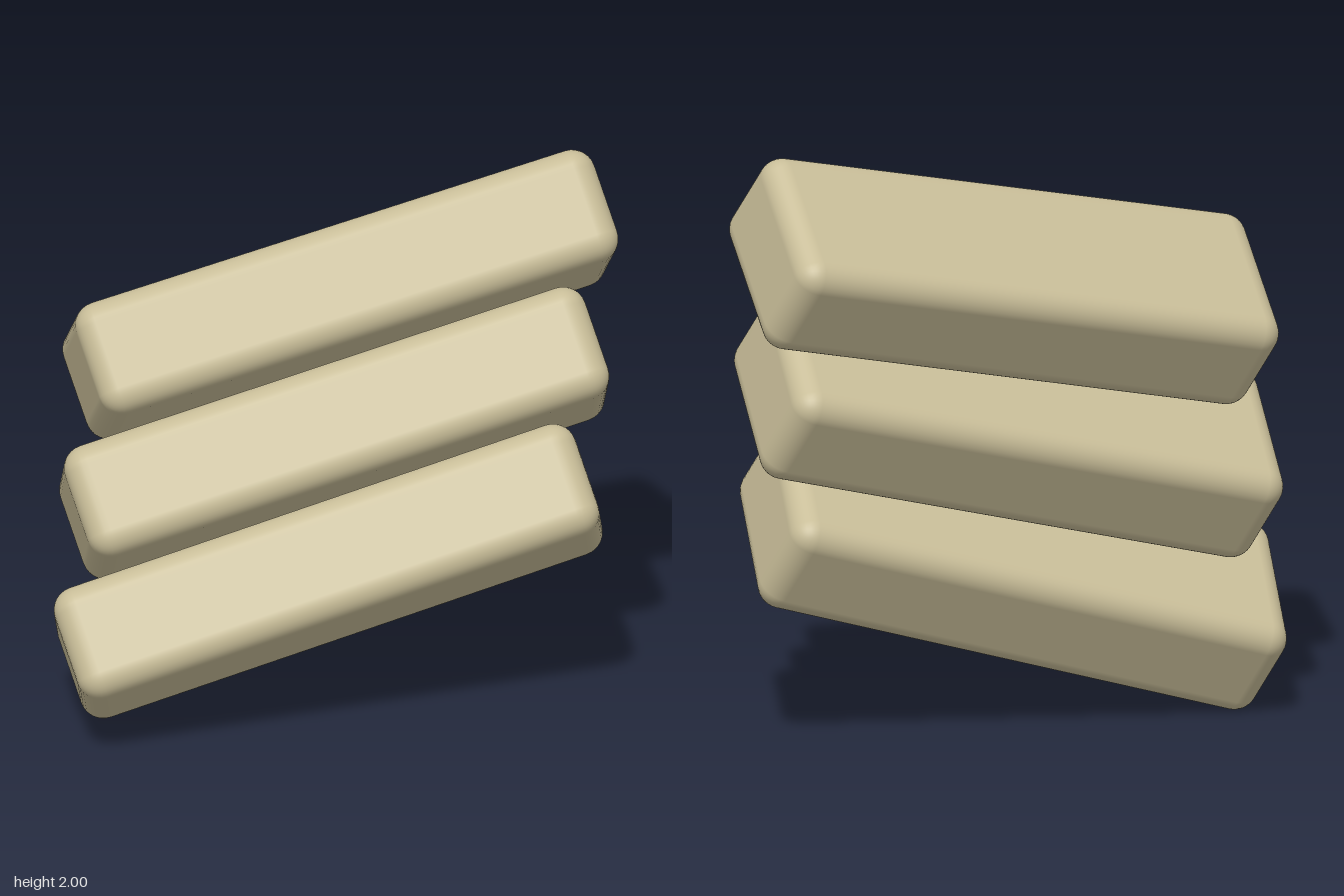
import * as THREE from 'three';
import { RoundedBoxGeometry } from 'three/addons/geometries/RoundedBoxGeometry.js';

export function createModel() {
  const group = new THREE.Group();
  group.name = 'stackedBars';
  const sand = new THREE.MeshStandardMaterial({ color: 0xc8bd98 });
  sand.name = 'sand';

  // One softly rounded bar shared by all three
  const bar = new RoundedBoxGeometry(1.845, 0.395, 0.6, 4, 0.08);

  // Common tilt: every bar lies flat against the same slanted normal
  const up = new THREE.Vector3(-0.49, 0.8, -0.35).normalize();
  const along = new THREE.Vector3(0.803, 0.249, -0.542).projectOnPlane(up).normalize();
  const across = new THREE.Vector3().crossVectors(along, up);
  const tilt = new THREE.Quaternion().setFromRotationMatrix(
    new THREE.Matrix4().makeBasis(along, up, across));

  // Each bar is twisted a little further round the normal than the one below
  const twist = 0.064;
  [
    ['lowerBar', -0.005, 0.53, 0.06],
    ['middleBar', 0.005, 1.025, 0.03],
    ['upperBar', 0.015, 1.522, 0],
  ].forEach(([name, x, y, z], i) => {
    const mesh = new THREE.Mesh(bar, sand);
    mesh.name = name;
    mesh.position.set(x, y, z);
    mesh.quaternion.setFromAxisAngle(up, (i - 1) * twist).multiply(tilt);
    group.add(mesh);
  });
  return group;
}
